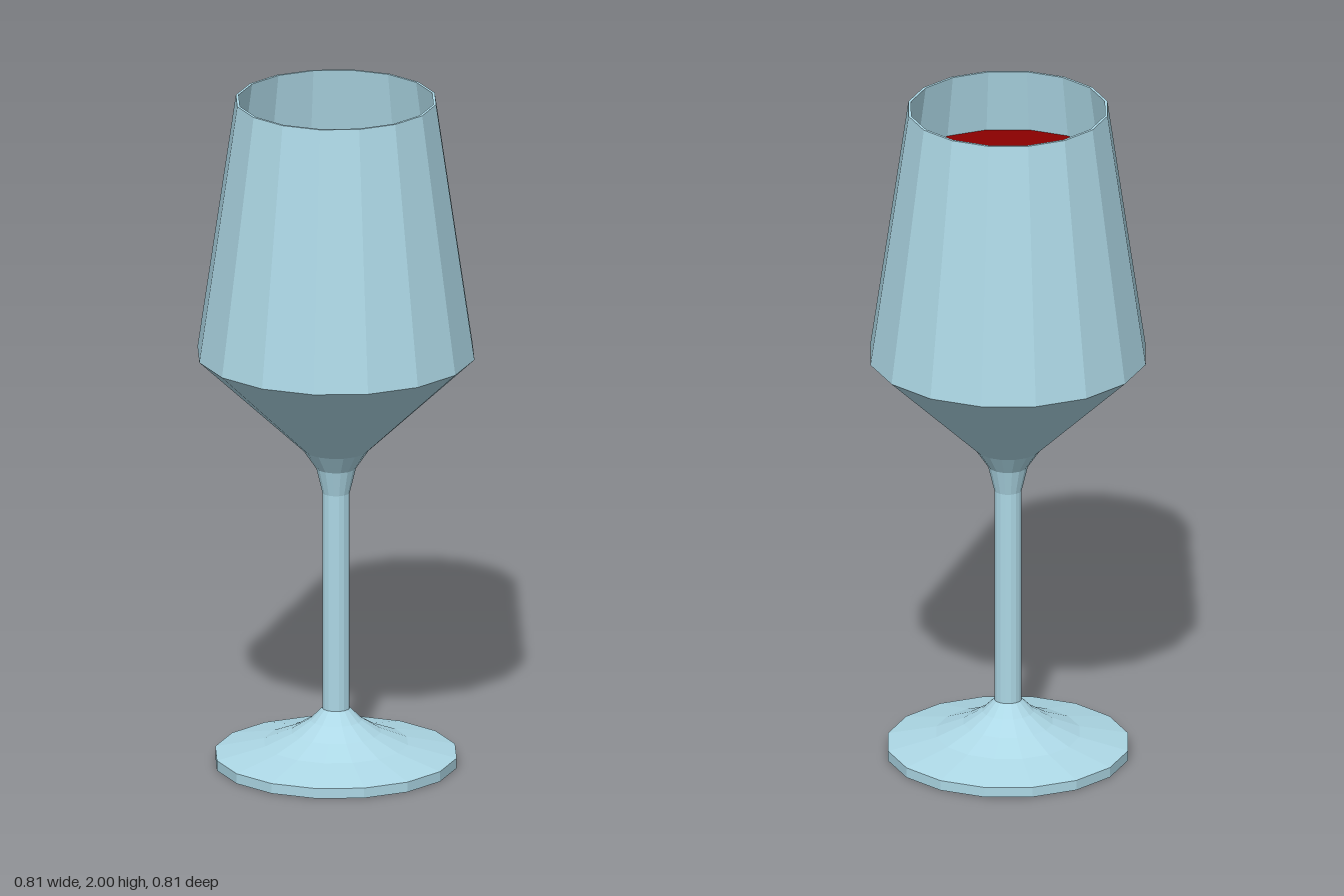
import * as THREE from 'three';

const SIDES = 16;

// Faceted turned part from [radius, height] pairs, listed bottom to top on the outside
function turned(name, profile, material) {
  const points = profile.map(([r, y]) => new THREE.Vector2(r, y));
  const mesh = new THREE.Mesh(new THREE.LatheGeometry(points, SIDES), material);
  mesh.name = name;
  return mesh;
}

export function createModel() {
  const group = new THREE.Group();
  group.name = 'wineGlass';
  const glass = new THREE.MeshStandardMaterial({ color: 0xadd8e6, flatShading: true });
  const red = new THREE.MeshStandardMaterial({ color: 0x8b0000, flatShading: true });

  // Foot: flat underside, thin rim, concave sweep up to the stem
  group.add(turned('foot', [
    [0, 0], [0.352, 0], [0.352, 0.03], [0.21, 0.062], [0.13, 0.095], [0.075, 0.13], [0.04, 0.165],
  ], glass));

  // Straight stem
  group.add(turned('stem', [[0.04, 0.165], [0.04, 0.815]], glass));

  // Bowl: flare, cone and tapering wall, then back down the inside
  group.add(turned('bowl', [
    [0.04, 0.815], [0.058, 0.89], [0.095, 0.945], [0.404, 1.235], [0.292, 2],
    [0.284, 2], [0.395, 1.24], [0.085, 0.955], [0, 0.94],
  ], glass));

  // Wine filling the bowl
  group.add(turned('wine', [
    [0, 0.945], [0.082, 0.958], [0.392, 1.242], [0.309, 1.81], [0, 1.81],
  ], red));

  return group;
}
